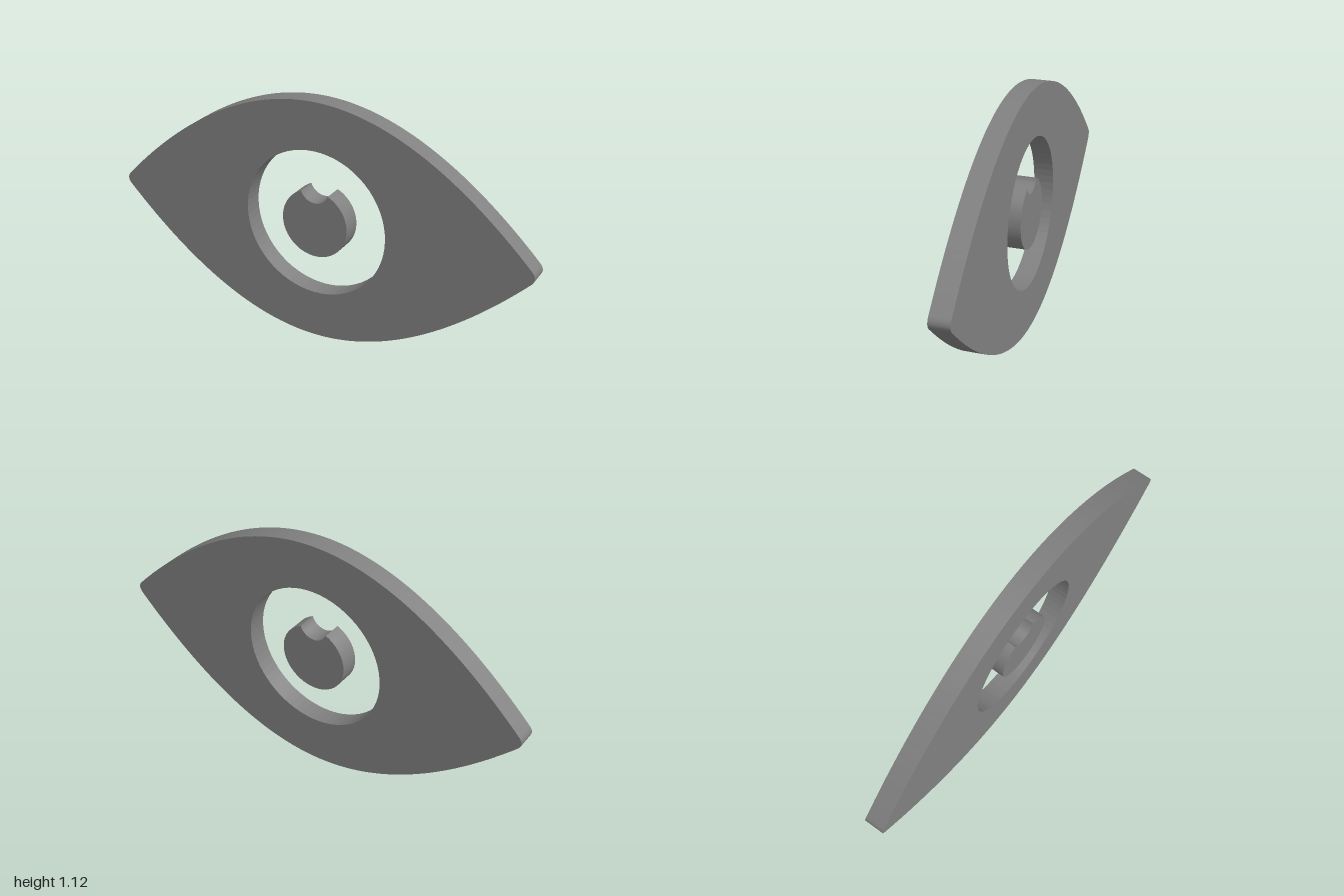
import * as THREE from 'three';

const DEPTH = 0.09;
const HALF_HEIGHT = 0.56;

export function createModel() {
  const group = new THREE.Group();
  group.name = 'eye';
  const material = new THREE.MeshStandardMaterial({ color: 0x808080 });

  const addPlate = (name, shape) => {
    const geometry = new THREE.ExtrudeGeometry(shape, { depth: DEPTH, bevelEnabled: false, curveSegments: 32 });
    geometry.translate(0, HALF_HEIGHT, -DEPTH / 2);
    const mesh = new THREE.Mesh(geometry, material);
    mesh.name = name;
    group.add(mesh);
  };

  // Almond-shaped surround with slightly rounded corners and a round opening
  const h = HALF_HEIGHT, lidX = 0.47, tipX = 0.985, tipY = 0.03;
  const surround = new THREE.Shape();
  surround.moveTo(0, -h);
  for (const s of [1, -1]) {
    surround.quadraticCurveTo(s * lidX, -s * h, s * tipX, -s * tipY);
    surround.quadraticCurveTo(s * 1.015, 0, s * tipX, s * tipY);
    surround.quadraticCurveTo(s * lidX, s * h, 0, s * h);
  }
  surround.holes.push(new THREE.Path().absarc(0, 0, 0.34, 0, Math.PI * 2, true));
  addPlate('eyeSurround', surround);

  // Free-standing pupil disc with a round highlight notch bitten out of its top
  const r = 0.158, notchR = 0.069, notchX = 0.065;
  const cornerY = Math.sqrt(r * r - notchX * notchX);
  const notchY = cornerY + Math.sqrt(notchR * notchR - notchX * notchX);
  const a = Math.atan2(cornerY, notchX);
  const b = Math.atan2(cornerY - notchY, notchX);
  const pupil = new THREE.Shape();
  pupil.absarc(0, 0, r, Math.PI - a, Math.PI * 2 + a, false);
  pupil.absarc(0, notchY, notchR, b, -Math.PI - b, true);
  addPlate('pupil', pupil);

  return group;
}
